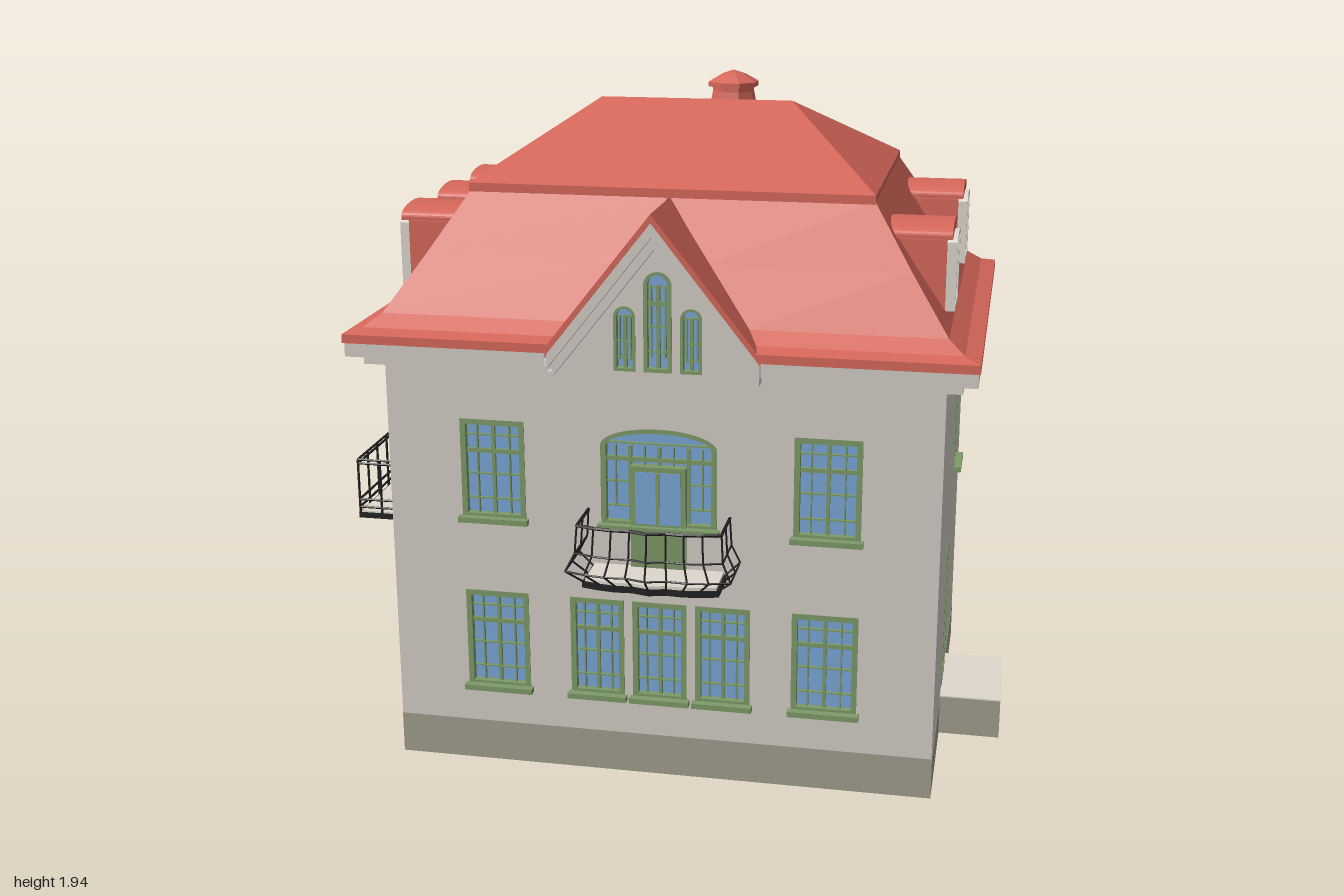
import * as THREE from 'three';

const mat = (color) => new THREE.MeshStandardMaterial({ color, side: THREE.DoubleSide, flatShading: true });
const WALL = mat(0xd3ccc5), PLINTH = mat(0xa09d8d), ROOF = mat(0xd6675a), GLASS = mat(0x7aa6d8),
  GREEN = mat(0x7d9a68), IRON = mat(0x222222), CREAM = mat(0xddd6cc);
const CX = 0.02; // axis of symmetry of the house

function add(parent, name, geo, material, x = 0, y = 0, z = 0) {
  const m = new THREE.Mesh(geo, material);
  m.name = name;
  m.position.set(x, y, z);
  parent.add(m);
  return m;
}
// box given by its limits
const block = (p, name, m, x0, x1, y0, y1, z0, z1) =>
  add(p, name, new THREE.BoxGeometry(x1 - x0, y1 - y0, z1 - z0), m, (x0 + x1) / 2, (y0 + y1) / 2, (z0 + z1) / 2);
const extrude = (shape, depth) => new THREE.ExtrudeGeometry(shape, { depth, bevelEnabled: false, curveSegments: 10 });
const poly = (pts) => new THREE.Shape(pts.map((p) => new THREE.Vector2(...p)));

// skin between rows of [x, y, z] points
function loft(rows, closed = false) {
  const pos = [];
  for (let j = 0; j + 1 < rows.length; j++) {
    const n = rows[j].length;
    for (let i = 0; i < (closed ? n : n - 1); i++) {
      const k = (i + 1) % n, a = rows[j][i], b = rows[j][k], c = rows[j + 1][k], d = rows[j + 1][i];
      pos.push(...a, ...b, ...c, ...a, ...c, ...d);
    }
  }
  const g = new THREE.BufferGeometry();
  g.setAttribute('position', new THREE.Float32BufferAttribute(pos, 3));
  g.computeVertexNormals();
  return g;
}
// thin rods along a polyline
function rods(p, name, pts, r = 0.004) {
  for (let i = 0; i + 1 < pts.length; i++) {
    const a = new THREE.Vector3(...pts[i]), b = new THREE.Vector3(...pts[i + 1]), d = b.clone().sub(a);
    const m = add(p, name, new THREE.CylinderGeometry(r, r, d.length(), 5), IRON);
    m.position.copy(a).addScaledVector(d, 0.5);
    m.quaternion.setFromUnitVectors(new THREE.Vector3(0, 1, 0), d.normalize());
  }
}

// rectangle with an optional arched head of rise a, inset by i
function outline(w, h, a = 0, i = 0, T = THREE.Shape, u = 0, y = 0) {
  const s = new T(), hw = w / 2 - i;
  s.moveTo(u - hw, y + i);
  s.lineTo(u + hw, y + i);
  s.lineTo(u + hw, y + h - a - (a ? 0 : i));
  if (a) s.absellipse(u, y + h - a, hw, a - i * 0.8, 0, Math.PI, false);
  else s.lineTo(u - hw, y + h - i);
  s.closePath();
  return s;
}
// window with frame, glass, glazing bars and sill, facing local +z
function makeWindow(p, { u, y0, y1, w, a = 0, cols = 2, door = 0, frame = GREEN, sill = true }) {
  const h = y1 - y0, g = new THREE.Group();
  g.name = door ? 'door' : 'window';
  g.position.set(u, y0, 0);
  p.add(g);
  const f = Math.min(0.016, w * 0.14), s = outline(w, h, a);
  s.holes.push(outline(w, h, a, f, THREE.Path));
  add(g, 'frame', extrude(s, 0.032), frame, 0, 0, -0.03);
  add(g, 'glass', extrude(outline(w, h, a, f * 0.5), 0.004), GLASS, 0, 0, -0.022);
  const bar = (x, y, bw, bh) => block(g, 'glazingBar', frame, x - bw / 2, x + bw / 2, y - bh / 2, y + bh / 2, -0.02, -0.008);
  for (let i = 1; i < cols; i++) bar(-w / 2 + (w * i) / cols, (h - a) / 2, 0.01, h - a);
  if (h > 0.2) bar(0, h * 0.68, w - f, 0.012);
  for (const t of [0.2, 0.45, 0.84]) bar(0, h * t, w - f, 0.004);
  for (let i = 0; i < cols; i++) bar(-w / 2 + (w * (i + 0.5)) / cols, h * 0.5, 0.004, h - 2 * a);
  if (door) block(g, 'doorPanel', GREEN, -w / 2 + f, w / 2 - f, 0, h * door, -0.02, -0.004);
  else if (sill) block(g, 'sill', frame, -w / 2 - 0.008, w / 2 + 0.008, -0.008, 0.008, -0.01, 0.025);
}

// wall from A to B with pierced openings above a plinth
function wall(root, name, A, B, wins, gable) {
  const dx = B[0] - A[0], dz = B[1] - A[1], L = Math.hypot(dx, dz), g = new THREE.Group();
  g.name = name;
  g.position.set(A[0], 0, A[1]);
  g.rotation.y = Math.atan2(-dz, dx);
  root.add(g);
  const c = CX - A[0];
  const s = poly([[0, 0.125], [L, 0.125], [L, 1.25], ...(gable ? [[c + 0.29, 1.25], [c, 1.63], [c - 0.29, 1.25]] : []), [0, 1.25]]);
  for (const o of wins) {
    s.holes.push(outline(o.w, o.y1 - o.y0, o.a, 0, THREE.Path, o.u, o.y0));
    makeWindow(g, o);
  }
  add(g, 'wallPanel', extrude(s, 0.04), WALL, 0, 0, -0.04);
  block(g, 'plinth', PLINTH, 0, L, 0, 0.125, -0.04, 0.001);
  return g;
}

// barrel-roofed dormer facing +z with its front at z = 0
function dormer(root, x, z, ry) {
  const g = new THREE.Group();
  g.name = 'dormer';
  g.position.set(x, 0, z);
  g.rotation.y = ry;
  root.add(g);
  const body = outline(0.18, 0.285, 0.03, 0, THREE.Shape, 0, 1.345);
  add(g, 'dormerBody', extrude(body, 0.2), ROOF, 0, 0, -0.2);
  const cap = outline(0.216, 0.04, 0.03, 0, THREE.Shape, 0, 1.605);
  add(g, 'dormerRoof', extrude(cap, 0.2), ROOF, 0, 0, -0.185);
  const win = new THREE.Group();
  win.name = 'dormerWindow';
  win.position.z = 0.026;
  g.add(win);
  makeWindow(win, { u: 0, y0: 1.4, y1: 1.612, w: 0.17, a: 0.02, cols: 3, frame: CREAM, sill: false });
}

export function createModel() {
  const root = new THREE.Group();
  root.name = 'house';
  const P = [[-0.775, 0.68], [0.815, 0.68], [0.815, -0.49], [0.23, -0.49], [0.23, -0.66],
    [0.1, -0.8], [-0.06, -0.8], [-0.19, -0.66], [-0.19, -0.49], [-0.775, -0.49]];
  const W = (u, y0, y1, w, o = {}) => ({ u, y0, y1, w, ...o });

  // walls, going round from the front
  const front = [];
  for (const x of [-0.465, 0.5]) front.push(W(x + 0.775, 0.77, 1.07, 0.19), W(x + 0.775, 0.24, 0.545, 0.19));
  for (const k of [-1, 0, 1]) {
    front.push(W(0.795 + k * 0.185, 0.24, 0.545, 0.16));
    front.push(W(0.795 + k * 0.094, 1.235, k ? 1.42 : 1.52, k ? 0.062 : 0.08, { a: k ? 0.031 : 0.04, sill: false }));
  }
  front.push(W(0.795, 0.775, 1.07, 0.335, { a: 0.055, cols: 4 }));
  const openings = [
    front,
    [W(0.77, 0.77, 1.07, 0.14), W(0.55, 0.13, 0.56, 0.16, { door: 0.68 })],
    [W(0.37, 0.77, 1.07, 0.19), W(0.37, 0.24, 0.545, 0.19), W(0.1, 0.24, 0.545, 0.08)],
    [W(0.08, 0.24, 0.545, 0.12), W(0.08, 0.83, 0.97, 0.12)],
    [W(0.095, 0.47, 0.76, 0.1), W(0.095, 0.93, 1.06, 0.1)],
    [W(0.08, 0.6, 0.88, 0.1), W(0.08, 1.05, 1.18, 0.1)],
    [W(0.095, 0.75, 1.05, 0.11)],
    [],
    [0.15, 0.25, 0.35, 0.45].map((u) => W(u, 0.77, 1.07, 0.085)),
    [W(0.35, 0.65, 1.07, 0.14, { door: 0.35 }), W(0.76, 0.65, 1.07, 0.14, { door: 0.35 }),
      W(0.32, 0.24, 0.545, 0.14), W(0.56, 0.24, 0.545, 0.14), W(0.85, 0.47, 0.55, 0.1), W(1.02, 0.47, 0.55, 0.1)],
  ];
  const names = ['frontWall', 'rightWall', 'backWallRight', 'towerRight', 'towerDiagonalRight', 'towerBack',
    'towerDiagonalLeft', 'towerLeft', 'backWallLeft', 'leftWall'];
  P.forEach((a, i) => wall(root, names[i], a, P[(i + 1) % P.length], openings[i], i === 0));
  block(root, 'balconyDoor', GREEN, -0.06, 0.1, 0.645, 0.96, 0.66, 0.69);
  block(root, 'balconyDoorGlass', GLASS, -0.045, 0.085, 0.79, 0.945, 0.68, 0.693);
  block(root, 'balconyDoorBar', GREEN, 0.015, 0.025, 0.79, 0.945, 0.68, 0.696);

  // ring round the main block at offset ox, oz, left open where the gable cuts the front
  const main = (ox, oz, y) => {
    const hw = 0.3 * Math.min(1, Math.max(0, (1.69 - y) / 0.38)), X0 = -0.775 - ox, X1 = 0.815 + ox, Z0 = -0.49 - oz, Z1 = 0.68 + oz;
    return [[CX + hw, y, Z1], [X1, y, Z1], [X1, y, Z0], [X0, y, Z0], [X0, y, Z1], [CX - hw, y, Z1]];
  };
  // ring round the tower at offset o
  const tower = (o, y, z = -0.3) => {
    const h = [[0.21 + o, z], [0.21 + o, -0.66 - 0.41 * o], [0.08 + 0.41 * o, -0.8 - o]];
    return [...h.map(([x, d]) => [CX + x, y, d]), ...h.reverse().map(([x, d]) => [CX - x, y, d])];
  };
  const cornice = [[0, 1.23], [0.045, 1.23], [0.045, 1.26], [0.085, 1.26], [0.085, 1.3]];
  add(root, 'mainCornice', loft(cornice.map(([o, y]) => main(o, o, y))), WALL);
  add(root, 'towerCornice', loft(cornice.map(([o, y]) => tower(o, y))), WALL);
  add(root, 'mansardRoof', loft([main(0, 0, 1.3), main(0.09, 0.09, 1.3), main(0.09, 0.09, 1.325), main(0.045, 0.045, 1.337),
    main(0, 0, 1.37), main(-0.11, -0.083, 1.53), main(-0.22, -0.17, 1.7)]), ROOF);
  add(root, 'towerRoof', loft([[0, 1.3], [0.085, 1.3], [0.085, 1.325], [0.03, 1.335], [-0.015, 1.36], [-0.027, 1.45],
    [-0.05, 1.59], [-0.095, 1.71]].map(([o, y]) => tower(o, y))), ROOF);
  const capTop = tower(-0.15, 1.757, -0.2);
  add(root, 'towerCap', loft([tower(-0.1, 1.705, -0.2), tower(-0.075, 1.71, -0.2), tower(-0.075, 1.725, -0.2), capTop,
    capTop.map((p) => [CX, 1.765, p[2]])]), ROOF);

  // upper hipped roof with its rim
  const rect = (x0, x1, y, z0, z1) => [[x0, y, z1], [x1, y, z1], [x1, y, z0], [x0, y, z0]];
  add(root, 'upperRoof', loft([rect(-0.53, 0.57, 1.69, -0.3, 0.49), rect(-0.56, 0.595, 1.695, -0.325, 0.515),
    rect(-0.56, 0.595, 1.72, -0.325, 0.515), rect(-0.27, 0.305, 1.92, 0.095, 0.095)], true), ROOF);

  // lantern on the tower
  const lantern = new THREE.LatheGeometry([[0.105, 1.74], [0.088, 1.78], [0.07, 1.87], [0.07, 1.885], [0.085, 1.885], [0.085, 1.9],
    [0.04, 1.925], [0, 1.938]].map((p) => new THREE.Vector2(...p)), 8, Math.PI / 8);
  add(root, 'lantern', lantern, ROOF, CX, 0, -0.555);

  // front gable: stepped raking cornice under a thin roof
  const chevron = (top, thick, hw) => poly([[-hw, top - 1.27 * hw], [0, top], [hw, top - 1.27 * hw],
    [hw, top - 1.27 * hw - thick], [0, top - thick], [-hw, top - 1.27 * hw - thick]]);
  add(root, 'gableRoof', extrude(chevron(1.695, 0.024, 0.303), 0.265), ROOF, CX, 0, 0.5);
  add(root, 'gableCorniceOuter', extrude(chevron(1.675, 0.045, 0.297), 0.09), WALL, CX, 0, 0.67);
  add(root, 'gableCorniceInner', extrude(chevron(1.64, 0.05, 0.29), 0.055), WALL, CX, 0, 0.67);

  // dormers
  for (const z of [-0.235, 0.085, 0.405]) dormer(root, -0.752, z, -Math.PI / 2);
  for (const z of [-0.235, 0.405]) dormer(root, 0.792, z, Math.PI / 2);
  dormer(root, 0.45, -0.468, Math.PI);

  // bulging front balcony
  const plan = [[-1, 0], [-1, 0.4], [-1, 0.8], [-0.75, 0.88], [-0.5, 0.92], [-0.25, 0.9], [0, 0.98],
    [0.25, 0.9], [0.5, 0.92], [0.75, 0.88], [1, 0.8], [1, 0.4], [1, 0]];
  const levels = [[0.645, 0.19, 0.15], [0.69, 0.235, 0.2], [0.74, 0.21, 0.18], [0.82, 0.205, 0.17]];
  const at = ([a, b], [y, hw, d]) => [CX + a * hw, y, 0.68 + b * d];
  const frontBalcony = new THREE.Group();
  frontBalcony.name = 'frontBalcony';
  root.add(frontBalcony);
  for (const p of plan) rods(frontBalcony, 'baluster', levels.map((l) => at(p, l)), 0.003);
  for (const l of levels) rods(frontBalcony, 'rail', plan.map((p) => at(p, l)), l[0] > 0.8 ? 0.005 : 0.003);
  const floor = (s) => poly(plan.map(([a, b]) => [CX + a * 0.19 * s, -0.68 - b * 0.15 * s]));
  add(frontBalcony, 'balconyFloor', extrude(floor(0.99), 0.012), CREAM, 0, 0.645, 0).rotation.x = -Math.PI / 2;
  add(frontBalcony, 'balconyEdge', extrude(floor(1.03), 0.018), IRON, 0, 0.63, 0).rotation.x = -Math.PI / 2;

  // straight balcony on the left
  const sideBalcony = new THREE.Group();
  sideBalcony.name = 'leftBalcony';
  root.add(sideBalcony);
  block(sideBalcony, 'balconyEdge', IRON, -1, -0.775, 0.63, 0.646, -0.29, 0.385);
  block(sideBalcony, 'balconyFloor', CREAM, -0.993, -0.775, 0.635, 0.651, -0.283, 0.378);
  const corner = [[-0.775, -0.286], [-0.996, -0.286], [-0.996, 0.381], [-0.775, 0.381]];
  for (const y of [0.665, 0.69, 0.808, 0.82]) rods(sideBalcony, 'rail', corner.map(([x, z]) => [x, y, z]));
  for (let i = 0; i <= 8; i++) rods(sideBalcony, 'post', [[-0.996, 0.64, -0.286 + i * 0.0834], [-0.996, 0.82, -0.286 + i * 0.0834]]);
  for (const x of [-0.925, -0.85]) for (const z of [-0.286, 0.381]) rods(sideBalcony, 'post', [[x, 0.64, z], [x, 0.82, z]]);

  // side entrance landing and steps on the right
  block(root, 'landing', PLINTH, 0.815, 1, 0, 0.122, -0.05, 0.265);
  block(root, 'landingTop', CREAM, 0.815, 1, 0.115, 0.126, -0.05, 0.265);
  for (let i = 0; i < 3; i++) block(root, 'sideStep', PLINTH, 0.815, 1, 0, 0.094 - i * 0.031, -0.105 - i * 0.055, -0.05 - i * 0.055);

  // back porch: steps, ramp, rounded glazing and hipped hood
  for (let i = 0; i < 4; i++) block(root, 'porchStep', CREAM, -0.56 + i * 0.045, -0.19, 0, 0.031 * (i + 1), -0.81 + i * 0.048, -0.49);
  add(root, 'ramp', extrude(poly([[-0.92, 0], [-0.43, 0], [-0.43, 0.124]]), 0.17), CREAM, 0, 0, -0.665);
  const arc = (r, y, n = 6) => Array.from({ length: n + 1 }, (_, i) => {
    const t = (i / n) * Math.PI / 2;
    return [-0.19 - r * Math.sin(t), y, -0.49 - r * Math.cos(t)];
  });
  add(root, 'porchGlazing', loft([arc(0.19, 0.125), arc(0.19, 0.51)]), GLASS);
  for (const y of [0.14, 0.235, 0.33, 0.425, 0.5]) add(root, 'porchBar', loft([arc(0.193, y - 0.006), arc(0.193, y + 0.006)]), CREAM);
  for (const [x, , z] of arc(0.19, 0)) block(root, 'porchMullion', CREAM, x - 0.005, x + 0.005, 0.125, 0.51, z - 0.005, z + 0.005);
  rods(root, 'porchPost', [[-0.43, 0.09, -0.66], [-0.43, 0.51, -0.66]], 0.006);
  const hood = (y) => [[-0.19, y, -0.72], [-0.29, y, -0.72], [-0.455, y, -0.66], [-0.455, y, -0.49]];
  const peak = (y) => hood(y).map(() => [-0.19, y, -0.49]);
  add(root, 'porchEave', loft([peak(0.505), hood(0.505), hood(0.535)]), CREAM);
  add(root, 'porchRoof', loft([hood(0.535), peak(0.67)]), ROOF);
  return root;
}
